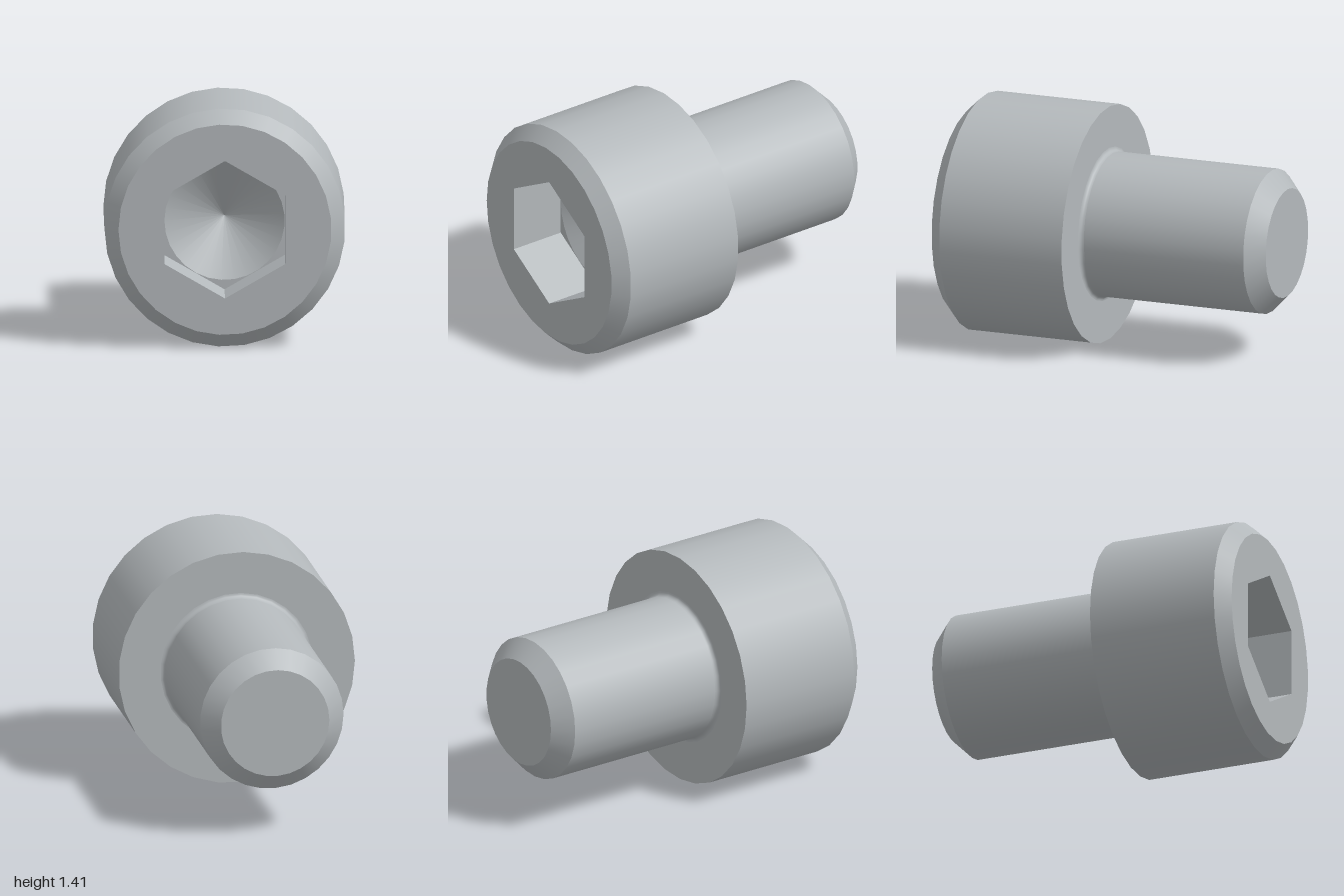
import * as THREE from 'three';

const SIDES = 29;
const HEAD_R = 0.708, SHANK_R = 0.43, RIM_R = 0.626, TIP_R = 0.325;
const HEX_R = 0.409, BORE_R = 0.353, SOCKET_Z = 0.66;

export function createModel() {
  const steel = new THREE.MeshStandardMaterial({ color: 0xb4b9bc });
  steel.name = 'steel';
  const model = new THREE.Group();
  model.name = 'socketHeadScrew';
  model.position.y = HEAD_R;

  const add = (name, geometry) => {
    const mesh = new THREE.Mesh(geometry, steel);
    mesh.name = name;
    model.add(mesh);
  };

  // Surface of revolution about z from [radius, z] pairs
  const turn = (points, sides = SIDES, start = -Math.PI / 2) =>
    new THREE.LatheGeometry(points.map(([r, z]) => new THREE.Vector2(r, z)), sides, start)
      .rotateX(Math.PI / 2);

  // Regular polygon outline in the xy plane
  const polygon = (r, sides, start) => Array.from({ length: sides }, (_, i) => {
    const a = start + (i / sides) * Math.PI * 2;
    return new THREE.Vector2(r * Math.cos(a), r * Math.sin(a));
  });

  // Flat front-facing plate with a hole
  const plate = (outer, inner, z) => {
    const shape = new THREE.Shape(outer);
    shape.holes.push(new THREE.Path(inner));
    return new THREE.ShapeGeometry(shape).translate(0, 0, z);
  };

  // Shank: end cap, chamfered tip, cylinder and fillet under the head
  const f = 0.027, seat = 0.14;
  const fillet = [];
  for (let i = 0; i <= 5; i++) {
    const a = (i / 5) * Math.PI / 2;
    fillet.push([SHANK_R + f * (1 - Math.cos(a)), seat - f + f * Math.sin(a)]);
  }
  add('shankEnd', turn([[0, -1], [TIP_R, -1]]));
  add('shankChamfer', turn([[TIP_R, -1], [SHANK_R, -0.9]]));
  add('shank', turn([[SHANK_R, -0.9], [SHANK_R, seat - f]]));
  add('fillet', turn(fillet));

  // Head: underside, cylinder, chamfer and front face
  add('headUnderside', turn([[SHANK_R + f, seat], [HEAD_R, seat]]));
  add('headSide', turn([[HEAD_R, seat], [HEAD_R, 0.918]]));
  add('headChamfer', turn([[HEAD_R, 0.918], [RIM_R, 1]]));
  const hexagon = polygon(HEX_R, 6, Math.PI / 2);
  add('headFace', plate(polygon(RIM_R, SIDES, Math.PI), hexagon, 1));

  // Socket: flat hexagonal walls, floor corners and drilled cone
  const walls = turn([[HEX_R, 1], [HEX_R, SOCKET_Z]], 6, 0).toNonIndexed();
  walls.computeVertexNormals();
  add('socketWalls', walls);
  add('socketFloor', plate(hexagon, polygon(BORE_R, SIDES, Math.PI), SOCKET_Z));
  add('socketCone', turn([[BORE_R, SOCKET_Z], [0, SOCKET_Z - 0.204]]));

  return model;
}
